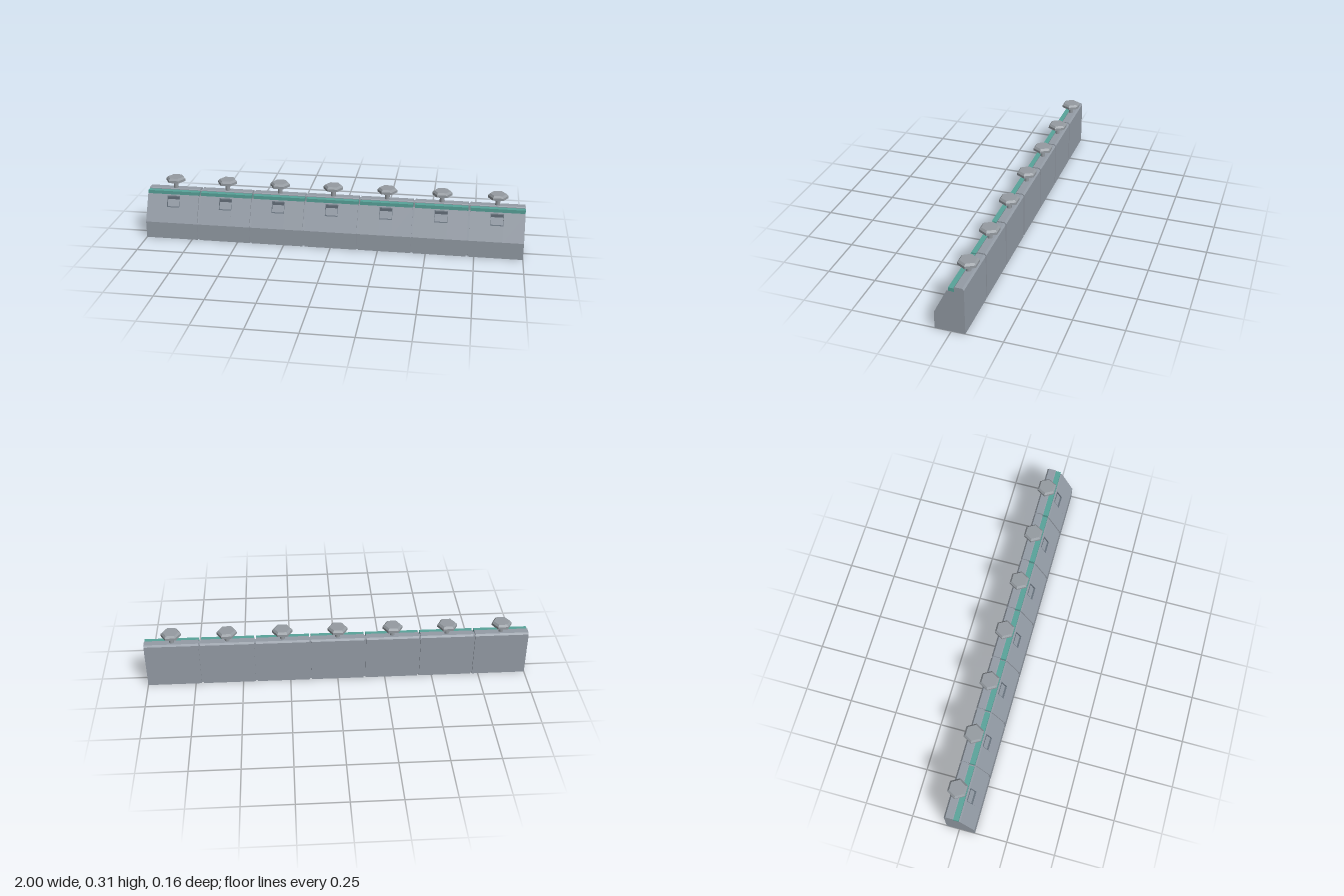
import * as THREE from 'three';

const COUNT = 7, PITCH = 2 / COUNT, GAP = 0.01;
const POCKET_W = 0.068, BACK = -0.005, FLOOR = 0.165, ROOF = 0.222;

// Side outline of a block as [z, y] points
const lower = [[-0.068, 0], [0.082, 0], [0.082, 0.09]];
const upper = [[0.015, 0.225], [-0.02, 0.225], [-0.02, 0.246], [-0.024, 0.25], [-0.06, 0.25], [-0.068, 0.241]];
const pocket = [[0.045, FLOOR], [BACK, FLOOR], [BACK, ROOF], [0.0165, ROOF]];
const core = [[-0.061, 0.002], [0.075, 0.002], [0.075, 0.088], [0.01, 0.218], [-0.024, 0.218], [-0.024, 0.242], [-0.061, 0.242]];

// Extrudes a [z, y] outline along x, from x0 to x1
function extrudeX(points, x0, x1) {
  const shape = new THREE.Shape(points.map(([z, y]) => new THREE.Vector2(z, y)));
  const geo = new THREE.ExtrudeGeometry(shape, { depth: x1 - x0, bevelEnabled: false });
  return geo.rotateY(-Math.PI / 2).translate(x1, 0, 0);
}

function add(parent, name, geometry, material) {
  const mesh = new THREE.Mesh(geometry, material);
  mesh.name = name;
  parent.add(mesh);
  return mesh;
}

export function createModel() {
  const grey = new THREE.MeshStandardMaterial({ color: 0x949ca6 });
  grey.name = 'block grey';
  const steel = new THREE.MeshStandardMaterial({ color: 0x959ba1 });
  steel.name = 'screw steel';
  const dark = new THREE.MeshStandardMaterial({ color: 0x66717c });
  dark.name = 'pocket grey';
  const teal = new THREE.MeshStandardMaterial({ color: 0x58a39a });
  teal.name = 'strip teal';

  // Six-sided knob with chamfered top and tapered underside
  const knobProfile = [[0, 0.277], [0.014, 0.277], [0.052, 0.289], [0.052, 0.302], [0.042, 0.312], [0, 0.312]]
    .map(([r, y]) => new THREE.Vector2(r, y));
  const knobGeo = new THREE.LatheGeometry(knobProfile, 6, Math.PI / 2).toNonIndexed();
  knobGeo.computeVertexNormals();
  const stemGeo = new THREE.CylinderGeometry(0.0125, 0.0125, 0.045, 12);

  const model = new THREE.Group();
  model.name = 'segmentedRail';

  // Recessed core seen in the grooves between blocks
  add(model, 'core', extrudeX(core, -0.98, 0.98), grey);

  for (let i = 0; i < COUNT; i++) {
    const segment = new THREE.Group();
    segment.name = 'segment' + (i + 1);
    segment.position.x = -1 + PITCH * (i + 0.5);
    model.add(segment);

    // Outer ends stay flush, inner ends leave a groove
    const x0 = -PITCH / 2 + (i > 0 ? GAP / 2 : 0);
    const x1 = PITCH / 2 - (i < COUNT - 1 ? GAP / 2 : 0);
    const h = POCKET_W / 2;

    // Block: full outline either side, notched outline at the pocket
    add(segment, 'blockRight', extrudeX([...lower, ...upper], x0, -h), grey);
    add(segment, 'blockLeft', extrudeX([...lower, ...upper], h, x1), grey);
    add(segment, 'blockMiddle', extrudeX([...lower, ...pocket, ...upper], -h, h), grey);

    // Thin pocket lining, clear of the core
    add(segment, 'pocketWallRight', extrudeX(pocket, -h, -h + 0.002), dark);
    add(segment, 'pocketWallLeft', extrudeX(pocket, h - 0.002, h), dark);
    const floor = [[0.0445, FLOOR], [0.0435, FLOOR + 0.002], [BACK, FLOOR + 0.002], [BACK, FLOOR]];
    add(segment, 'pocketFloor', extrudeX(floor.reverse(), -h, h), dark);
    const face = [[BACK, FLOOR], [0.018, FLOOR], [0.018, ROOF - 0.005], [0.0155, ROOF], [BACK, ROOF]];
    add(segment, 'pocketBack', extrudeX(face, -h, h), dark);

    // Seal strip resting on the front ledge
    const strip = [[-0.022, 0.224], [0.007, 0.224], [0.007, 0.243], [-0.022, 0.243]];
    add(segment, 'sealStrip', extrudeX(strip, x0, x1), teal);

    // Clamping screw
    const screw = new THREE.Group();
    screw.name = 'clampScrew';
    screw.position.z = -0.037;
    segment.add(screw);
    add(screw, 'stem', stemGeo, steel).position.y = 0.2575;
    add(screw, 'knob', knobGeo, steel);
  }
  return model;
}
